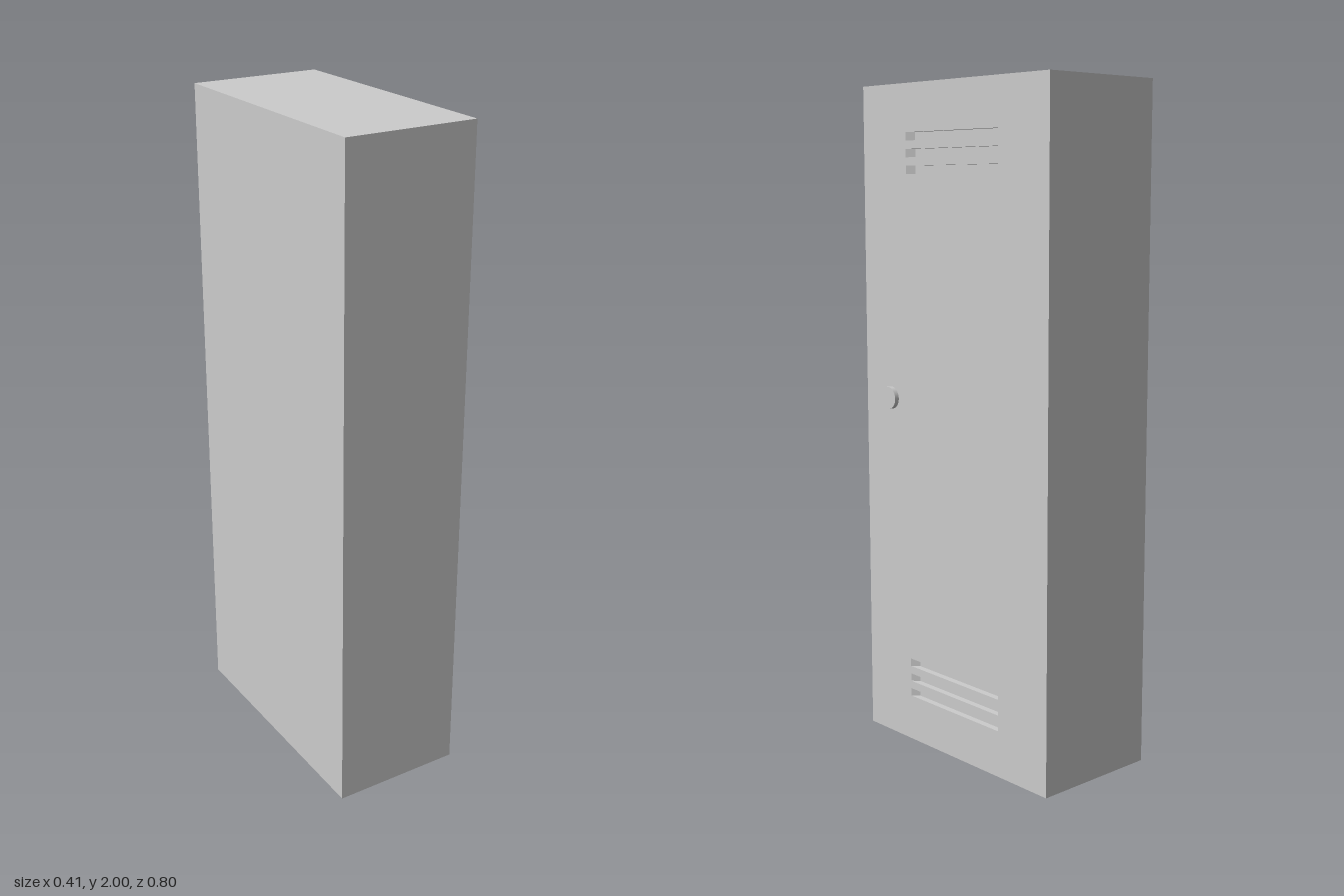
import * as THREE from 'three';

const FRONT = 0.193, BACK = -0.207;   // door face and rear wall along x
const HEIGHT = 2, HALF_WIDTH = 0.4;
const DEPTH = 0.02;                   // depth of the vent slots
const SLOT_HALF = 0.2, SLOT_H = 0.024;

export function createModel() {
  const group = new THREE.Group();
  const material = new THREE.MeshStandardMaterial({ color: 0xcccccc });
  const add = (name, geometry, x = 0, y = 0, z = 0) => {
    const mesh = new THREE.Mesh(geometry, material);
    mesh.name = name;
    mesh.position.set(x, y, z);
    group.add(mesh);
    return mesh;
  };

  // Heights of the three slots in each of the two vents
  const slots = [];
  for (const centre of [0.2, 1.8]) {
    for (const i of [-1, 0, 1]) slots.push(centre + i * 0.048);
  }

  // Cabinet body behind the door
  const inner = FRONT - DEPTH;
  add('cabinetBody', new THREE.BoxGeometry(inner - BACK, HEIGHT, HALF_WIDTH * 2),
    (inner + BACK) / 2, HEIGHT / 2, 0);

  // Door panel pierced by the vent slots
  const rect = (Type, w, y0, y1) => new Type([
    new THREE.Vector2(-w, y0), new THREE.Vector2(w, y0),
    new THREE.Vector2(w, y1), new THREE.Vector2(-w, y1),
  ]);
  const panel = rect(THREE.Shape, HALF_WIDTH, 0, HEIGHT);
  for (const y of slots) {
    panel.holes.push(rect(THREE.Path, SLOT_HALF, y - SLOT_H / 2, y + SLOT_H / 2));
  }
  const door = new THREE.ExtrudeGeometry(panel, { depth: DEPTH, bevelEnabled: false });
  door.rotateY(Math.PI / 2);
  add('door', door, inner, 0, 0);

  // Sloping ends inside each slot
  for (const side of [-1, 1]) {
    const wedge = new THREE.Shape([
      new THREE.Vector2(FRONT, SLOT_HALF * side),
      new THREE.Vector2(inner, SLOT_HALF * side),
      new THREE.Vector2(inner, (SLOT_HALF - 0.02) * side),
    ]);
    const geometry = new THREE.ExtrudeGeometry(wedge, { depth: SLOT_H, bevelEnabled: false });
    geometry.rotateX(Math.PI / 2);
    for (const y of slots) add('slotEnd', geometry, 0, y + SLOT_H / 2, 0);
  }

  // Round door knob
  const knob = new THREE.CylinderGeometry(0.034, 0.034, 0.014, 32);
  knob.rotateZ(-Math.PI / 2);
  add('knob', knob, FRONT + 0.007, 1.07, 0.28);

  return group;
}
